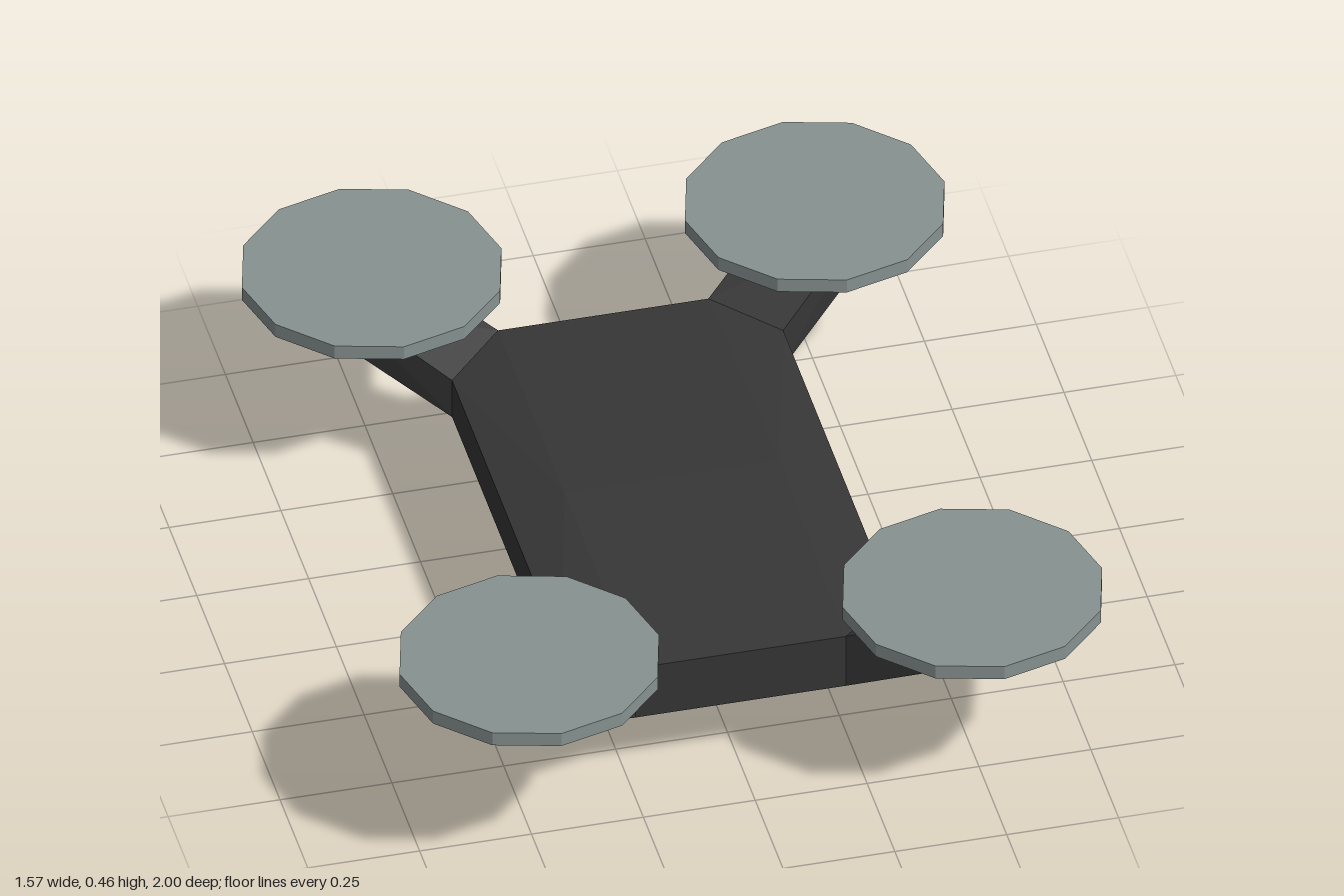
import * as THREE from 'three';
import { ConvexGeometry } from 'three/addons/geometries/ConvexGeometry.js';

const dark = new THREE.MeshStandardMaterial({ color: 0x363636, flatShading: true });
const rotorGrey = new THREE.MeshStandardMaterial({ color: 0x869290, flatShading: true });
const red = new THREE.MeshStandardMaterial({ color: 0xd01c34, flatShading: true });

export function createModel() {
  const model = new THREE.Group();
  model.name = 'quadcopter';

  const add = (name, geometry, material, parent = model) => {
    const mesh = new THREE.Mesh(geometry, material);
    mesh.name = name;
    parent.add(mesh);
    return mesh;
  };
  const hull = (points) => new ConvexGeometry(points.map((p) => new THREE.Vector3(...p)));

  // Faceted hull: thickest across the middle, chamfered at the four corners
  const bodyPoints = [];
  for (const sx of [-1, 1]) {
    bodyPoints.push([sx * 0.24, 0.33, 0], [sx * 0.235, 0.15, 0]);
    for (const sz of [-1, 1]) {
      bodyPoints.push(
        [sx * 0.235, 0.31, sz * 0.62], [sx * 0.235, 0.175, sz * 0.62],
        [sx * 0.37, 0.295, sz * 0.49], [sx * 0.37, 0.195, sz * 0.49]);
    }
  }
  add('body', hull(bodyPoints), dark);

  // One arm profile, mirrored to each corner
  const armPoints = [
    // root, on the chamfer of the body
    [0.235, 0.31, 0.62], [0.235, 0.175, 0.62], [0.37, 0.295, 0.49], [0.37, 0.195, 0.49],
    // upright outer end
    [0.47, 0.32, 0.80], [0.47, 0.43, 0.80], [0.61, 0.335, 0.67], [0.61, 0.43, 0.67],
    // inner edge of the rotor mount
    [0.435, 0.43, 0.765], [0.575, 0.43, 0.635],
  ];
  for (const sz of [1, -1]) {
    for (const sx of [1, -1]) {
      const unit = new THREE.Group();
      unit.name = (sz > 0 ? 'front' : 'back') + (sx > 0 ? 'Left' : 'Right') + 'RotorUnit';
      model.add(unit);
      add('arm', hull(armPoints.map(([x, y, z]) => [x * sx, y, z * sz])), dark, unit);
      add('rotorDisc', new THREE.CylinderGeometry(0.29, 0.29, 0.034, 12), rotorGrey, unit)
        .position.set(sx * 0.495, 0.445, sz * 0.71);
    }
  }

  // Bent camera stalk below the body, drawn as a (z, y) profile
  const profile = [[0.01, 0.165], [0, 0.155], [-0.12, 0.002], [-0.225, 0.025],
    [-0.225, 0.075], [-0.115, 0.095], [-0.07, 0.165]];
  const stalk = new THREE.ExtrudeGeometry(
    new THREE.Shape(profile.map(([z, y]) => new THREE.Vector2(z, y))),
    { depth: 0.09, bevelEnabled: false });
  stalk.translate(0, 0, -0.045).rotateY(-Math.PI / 2);
  add('cameraStalk', stalk, dark);

  // Tail light on the back face
  add('tailLight', new THREE.BoxGeometry(0.14, 0.05, 0.06), red).position.set(0, 0.24, -0.63);

  return model;
}
